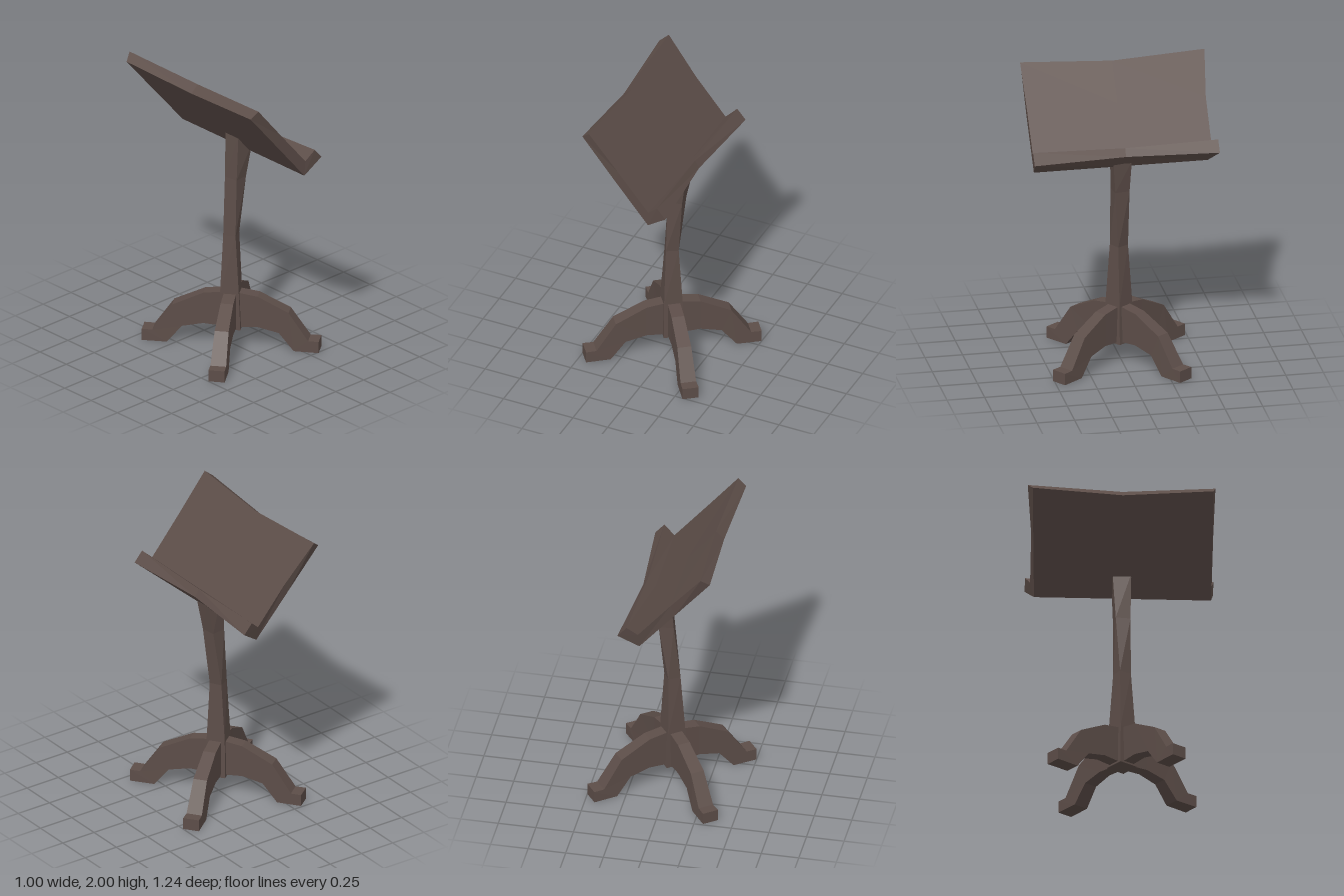
import * as THREE from 'three';

const material = new THREE.MeshStandardMaterial({ color: 0x5c4d48, flatShading: true });

// Skin a solid through rings of [x, y, z] points, closing both ends.
function loft(name, rings) {
  const n = rings[0].length;
  const pos = [];
  const quad = (a, b, c, d) => pos.push(...a, ...b, ...c, ...a, ...c, ...d);
  for (let r = 0; r < rings.length - 1; r++) {
    const a = rings[r], b = rings[r + 1];
    for (let i = 0; i < n; i++) {
      const j = (i + 1) % n;
      quad(a[i], a[j], b[j], b[i]);
    }
  }
  const s = rings[0], e = rings[rings.length - 1];
  for (let i = 0; i < n / 2 - 1; i++) {
    quad(e[i], e[i + 1], e[n - 2 - i], e[n - 1 - i]);
    quad(s[n - 1 - i], s[n - 2 - i], s[i + 1], s[i]);
  }
  const geo = new THREE.BufferGeometry();
  geo.setAttribute('position', new THREE.Float32BufferAttribute(pos, 3));
  geo.computeVertexNormals();
  const mesh = new THREE.Mesh(geo, material);
  mesh.name = name;
  return mesh;
}

// Sloping book rest with a lip: L-shaped section, pinched at the middle.
function createDesk() {
  const end = [[-0.375, 1.955], [-0.14, 1.675], [0.1, 1.39], [0.235, 1.49],
    [0.175, 1.56], [0.105, 1.495], [-0.11, 1.75], [-0.32, 2.0]];
  const middle = [[-0.35, 1.925], [-0.14, 1.675], [0.1, 1.39], [0.19, 1.49],
    [0.16, 1.54], [0.105, 1.495], [-0.11, 1.75], [-0.295, 1.975]];
  const backZ = [-0.59, -0.575, -0.56, -0.615, -0.615, -0.585, -0.588, -0.62];
  const frontZ = [0.59, 0.595, 0.595, 0.615, 0.615, 0.6, 0.6, 0.605];
  return loft('desk', [
    end.map(([x, y], i) => [x, y, backZ[i]]),
    middle.map(([x, y]) => [x, y, 0]),
    end.map(([x, y], i) => [x, y, frontZ[i]]),
  ]);
}

// Square post that leans and twists; its top is cut to the desk slope.
function createPost() {
  const levels = [ // y, centre x, half side, twist in degrees
    [0.13, 0, 0.07, -37],
    [0.39, -0.005, 0.062, -37],
    [0.8, -0.003, 0.042, -30],
    [1.2, 0.035, 0.049, -8],
    [null, 0.065, 0.061, 0],
  ];
  return loft('post', levels.map(([y, cx, half, twist]) =>
    [0, 1, 2, 3].map((i) => {
      const t = THREE.MathUtils.degToRad(45 + twist - i * 90);
      const x = cx + half * Math.SQRT2 * Math.cos(t);
      return [x, y ?? 1.53 - 0.8 * x, 0.01 + half * Math.SQRT2 * Math.sin(t)];
    })));
}

// Arched leg ending in a flat foot.
function createLeg() {
  const sections = [ // top r, top y, bottom r, bottom y, half width
    [0.04, 0.39, 0.04, 0.14, 0.041],
    [0.18, 0.37, 0.18, 0.15, 0.042],
    [0.385, 0.27, 0.32, 0.12, 0.046],
    [0.515, 0.08, 0.42, 0, 0.052],
    [0.585, 0.08, 0.585, 0, 0.054],
  ];
  return loft('leg', sections.map(([tr, ty, br, by, w]) =>
    [[br, by, -w], [tr, ty, -w], [tr, ty, w], [br, by, w]]));
}

export function createModel() {
  const model = new THREE.Group();
  model.name = 'lectern';
  model.add(createDesk(), createPost());

  // Four legs around the post
  const legs = new THREE.Group();
  legs.name = 'legs';
  legs.position.z = 0.01;
  for (let k = 0; k < 4; k++) {
    const leg = createLeg();
    leg.rotation.y = THREE.MathUtils.degToRad(37 + k * 90);
    legs.add(leg);
  }
  model.add(legs);
  return model;
}
